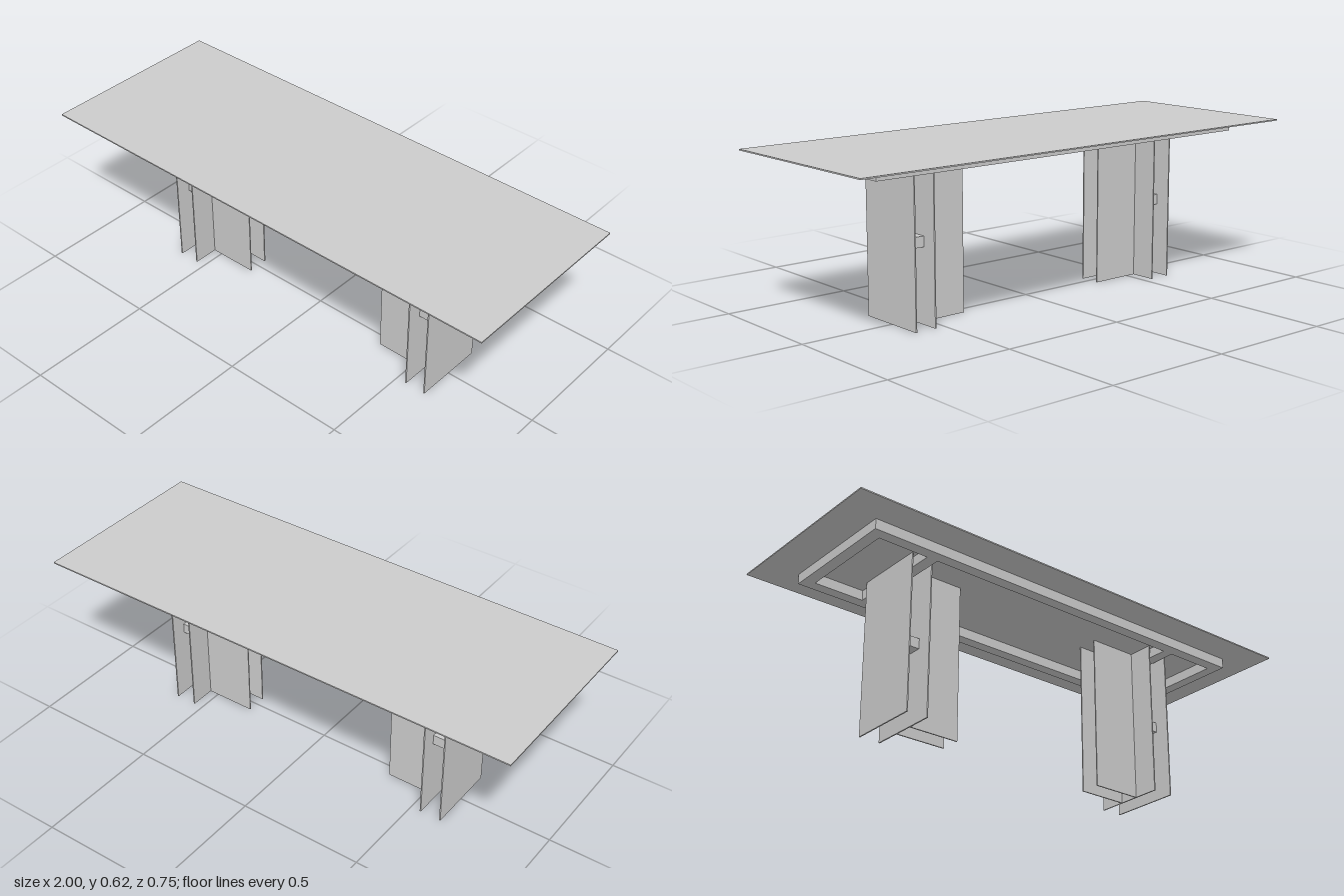
import * as THREE from 'three';

const TOP = 0.625;    // table height
const SHEET = 0.005;  // thickness of the sheet panels
const RAIL = 0.045;   // section of the under-frame rails

export function createModel() {
  const group = new THREE.Group();
  group.name = 'table';
  const material = new THREE.MeshStandardMaterial({ color: 0xcccccc, flatShading: true });

  // Box given by its lower and upper limits on each axis
  const box = (parent, name, [x0, x1], [y0, y1], [z0, z1]) => {
    const mesh = new THREE.Mesh(new THREE.BoxGeometry(x1 - x0, y1 - y0, z1 - z0), material);
    mesh.position.set((x0 + x1) / 2, (y0 + y1) / 2, (z0 + z1) / 2);
    mesh.name = name;
    parent.add(mesh);
  };

  // Thin top
  const under = TOP - SHEET;
  box(group, 'tableTop', [-1, 1], [under, TOP], [-0.375, 0.375]);

  // Rectangular frame under the top
  const frame = new THREE.Shape([
    new THREE.Vector2(-0.855, -0.25), new THREE.Vector2(0.855, -0.25),
    new THREE.Vector2(0.855, 0.25), new THREE.Vector2(-0.855, 0.25),
  ]);
  const ix = 0.855 - RAIL, iz = 0.25 - RAIL;
  frame.holes.push(new THREE.Path([
    new THREE.Vector2(-ix, -iz), new THREE.Vector2(-ix, iz),
    new THREE.Vector2(ix, iz), new THREE.Vector2(ix, -iz),
  ]));
  const frameGeo = new THREE.ExtrudeGeometry(frame, { depth: under - 0.58, bevelEnabled: false });
  frameGeo.rotateX(-Math.PI / 2);
  const frameMesh = new THREE.Mesh(frameGeo, material);
  frameMesh.position.y = 0.58;
  frameMesh.name = 'underFrame';
  group.add(frameMesh);

  // One pedestal of upright panels at each end; the right one is turned half round
  for (const side of ['left', 'right']) {
    const leg = new THREE.Group();
    leg.name = side + 'Pedestal';
    if (side === 'right') leg.rotation.y = Math.PI;
    const height = [0, under];

    box(leg, 'outerPanel', [0.627 - SHEET, 0.627], height, [-0.145, 0.145]);
    box(leg, 'innerPanel', [0.543 - SHEET, 0.543], height, [-0.145, 0.145]);
    for (const z of [-0.04, 0.04]) {
      box(leg, 'finPanel', [0.335, 0.543 - SHEET], height, [z - SHEET / 2, z + SHEET / 2]);
    }
    // Spacer joining the two cross panels, and the frame's cross rail above it
    box(leg, 'spacerBar', [0.543, 0.627 - SHEET], [0.285, 0.325], [-0.085, 0.085]);
    box(leg, 'crossRail', [0.56, 0.605], [0.58, under], [-iz, iz]);
    group.add(leg);
  }
  return group;
}
